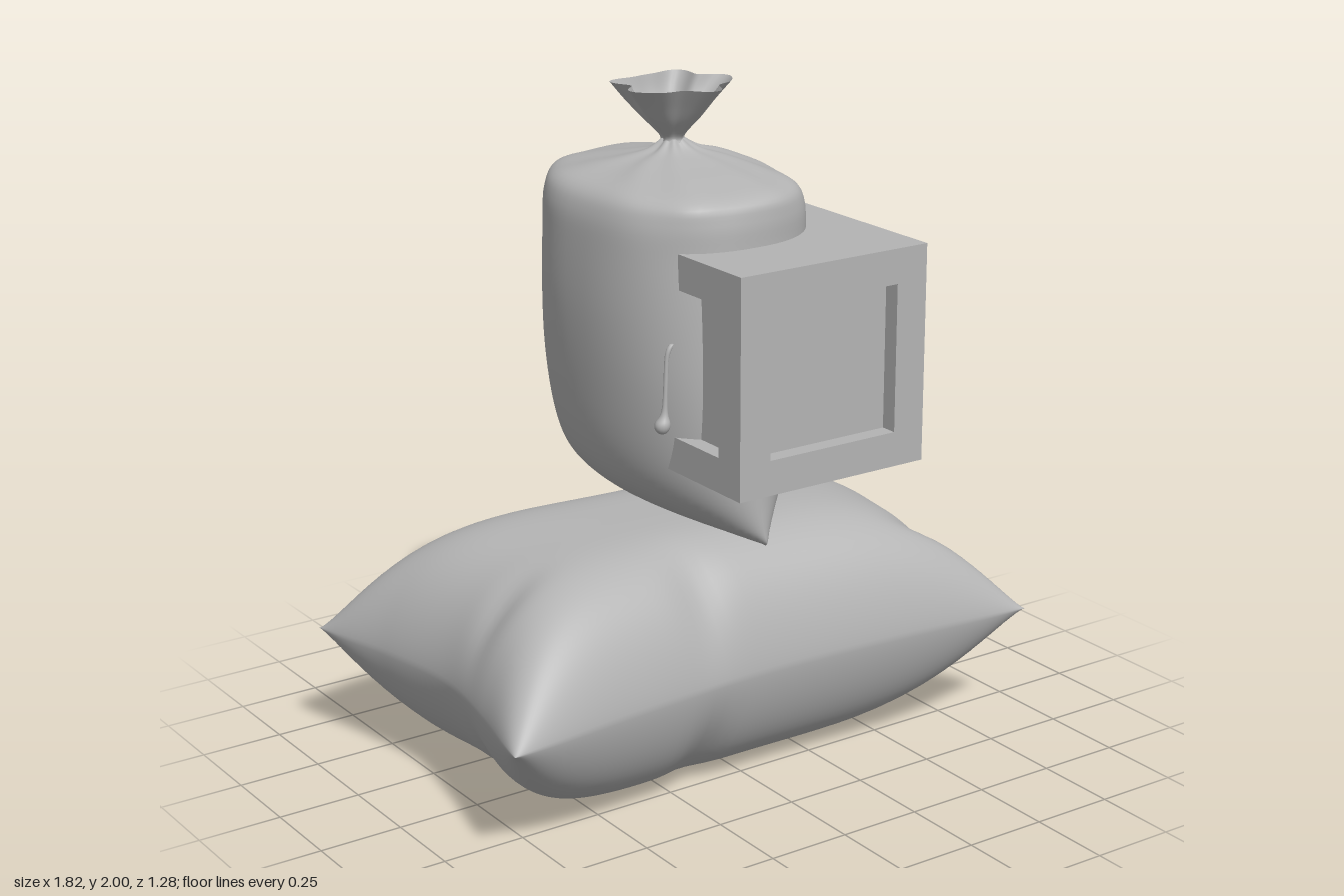
import * as THREE from 'three';
import { mergeVertices } from 'three/addons/utils/BufferGeometryUtils.js';

// smooth function of t (0..1) through evenly spaced values
function spline(values) {
  const curve = new THREE.SplineCurve(values.map((v, i) => new THREE.Vector2(i, v)));
  return t => curve.getPoint(t).y;
}

// grid of points from fn(u, v), u and v in 0..1
function surface(nu, nv, fn, flip = false) {
  const pos = [], idx = [];
  for (let j = 0; j <= nv; j++)
    for (let i = 0; i <= nu; i++) pos.push(...fn(i / nu, j / nv));
  for (let j = 0; j < nv; j++)
    for (let i = 0; i < nu; i++) {
      const a = j * (nu + 1) + i, b = a + 1, c = a + nu + 1, d = c + 1;
      if (flip) idx.push(a, b, c, b, d, c);
      else idx.push(a, c, b, b, c, d);
    }
  return { pos, idx };
}

// join grids into one smooth geometry
function smooth(...parts) {
  const pos = [], idx = [];
  for (const p of parts) {
    const base = pos.length / 3;
    for (const n of p.pos) pos.push(n);
    for (const i of p.idx) idx.push(i + base);
  }
  let g = new THREE.BufferGeometry();
  g.setAttribute('position', new THREE.Float32BufferAttribute(pos, 3));
  g.setIndex(idx);
  g = mergeVertices(g, 1e-5);
  g.computeVertexNormals();
  return g;
}

// rings: [y, xMin, xMax, zMin, zMax, roundness, pleat depth]
function loft(rings, nu, nv, pleat = () => 0, lift = () => 0) {
  const f = rings[0].map((_, k) => spline(rings.map(r => r[k])));
  return smooth(surface(nu, nv, (u, t) => {
    const a = (u % 1) * Math.PI * 2, [y, x0, x1, z0, z1, n, p] = f.map(g => g(t));
    const power = v => Math.sign(v) * Math.abs(v) ** (2 / n);
    const s = 1 + p * pleat(a);
    const x = (x0 + x1) / 2 + (x1 - x0) / 2 * s * power(Math.cos(a));
    const z = (z0 + z1) / 2 + (z1 - z0) / 2 * s * power(Math.sin(a));
    return [x, y + lift(y, z), z];
  }));
}

const bump = (x, z, cx, cz, rx, rz) => Math.exp(-(((x - cx) / rx) ** 2) - ((z - cz) / rz) ** 2);

// stuffed sack lying flat: two bulging sheets joined along a pinched rim
function lyingSack() {
  const left = spline([-0.91, -0.84, -0.80, -0.84, -0.90]);
  const right = spline([0.85, 0.79, 0.80, 0.79, 0.91]);
  const back = spline([-0.63, -0.58, -0.53, -0.575, -0.64]);
  const front = spline([0.47, 0.42, 0.39, 0.41, 0.45]);
  const sheet = side => surface(72, 56, (s, t) => {
    // denser points near the rim
    const u = Math.sin((s - 0.5) * Math.PI), v = Math.sin((t - 0.5) * Math.PI);
    const x = THREE.MathUtils.lerp(left((v + 1) / 2), right((v + 1) / 2), (u + 1) / 2);
    const z = THREE.MathUtils.lerp(back((u + 1) / 2), front((u + 1) / 2), (v + 1) / 2);
    const fill = Math.max(0, 1 - Math.abs(u) ** 5) ** 0.65 * Math.max(0, 1 - v ** 4) ** 0.7;
    const dents = 0.16 * bump(x, z, -0.18, 0.36, 0.07, 0.12) + 0.12 * bump(x, z, 0.05, -0.5, 0.1, 0.1)
      + 0.14 * bump(x, z, 0.72, -0.2, 0.12, 0.07) + 0.12 * bump(x, z, -0.74, 0.06, 0.12, 0.06)
      + 0.1 * bump(x, z, 0.72, 0.22, 0.12, 0.05);
    return [x, 0.37 + side * 0.37 * fill * (1 - dents), z];
  }, side < 0);
  return smooth(sheet(1), sheet(-1));
}

export function createModel() {
  const model = new THREE.Group();
  const grey = new THREE.MeshStandardMaterial({ color: 0xb4b4b4 });
  grey.name = 'grey';
  const greyOpen = grey.clone();
  greyOpen.name = 'grey';
  greyOpen.side = THREE.DoubleSide;
  const add = (name, geometry, parent = model, material = grey) => {
    const mesh = new THREE.Mesh(geometry, material);
    mesh.name = name;
    parent.add(mesh);
    return mesh;
  };

  add('lyingSack', lyingSack());

  // standing sack: seam at the bottom, gathered neck on top
  const sack = new THREE.Group();
  sack.name = 'tiedSack';
  model.add(sack);
  add('sackBody', loft([
    [0.745, -0.01, 0.01, -0.53, 0.365, 1.7, 0],
    [0.76, -0.09, 0.08, -0.54, 0.375, 1.7, 0],
    [0.80, -0.18, 0.15, -0.54, 0.375, 1.75, 0],
    [0.88, -0.26, 0.215, -0.535, 0.372, 1.85, 0],
    [1.00, -0.305, 0.265, -0.53, 0.37, 2, 0],
    [1.20, -0.335, 0.295, -0.515, 0.36, 2.2, 0],
    [1.40, -0.35, 0.31, -0.49, 0.345, 2.3, 0],
    [1.58, -0.347, 0.312, -0.472, 0.33, 2.4, 0],
    [1.68, -0.337, 0.305, -0.478, 0.327, 2.4, 0.005],
    [1.735, -0.305, 0.27, -0.46, 0.305, 2.4, 0.015],
    [1.765, -0.23, 0.205, -0.36, 0.20, 2.3, 0.04],
    [1.79, -0.15, 0.14, -0.23, 0.07, 2.1, 0.06],
    [1.81, -0.08, 0.07, -0.15, -0.01, 2, 0.08],
    [1.84, -0.04, 0.02, -0.11, -0.05, 2, 0.08],
  ], 80, 70, a => Math.cos(9 * a) + 0.6 * Math.cos(5 * a + 1),
  (y, z) => 0.036 * Math.max(0, (1.1 - y) / 0.35) * (0.37 - z) / 0.91), sack);

  // open ruffle above the tie
  add('sackRuffle', loft([
    [1.83, -0.045, 0.025, -0.115, -0.045, 2, 0.05],
    [1.85, -0.048, 0.025, -0.115, -0.045, 2, 0.08],
    [1.90, -0.095, 0.07, -0.155, 0.0, 2, 0.1],
    [1.95, -0.135, 0.11, -0.195, 0.04, 2, 0.12],
    [2.00, -0.175, 0.15, -0.215, 0.08, 2, 0.14],
  ], 90, 20, a => Math.cos(5 * a - 0.9) + 0.4 * Math.cos(8 * a + 1), (y, z) => 0), sack, greyOpen);

  // crate: solid core with a raised frame on each upright side
  const crate = new THREE.Group();
  crate.name = 'crate';
  crate.position.set(0.085, 1.293, 0.242);
  model.add(crate);
  const size = 0.63, depth = 0.05, hole = 0.214, inner = size - 2 * depth;
  add('crateCore', new THREE.BoxGeometry(inner, size, inner), crate);
  for (let i = 0; i < 4; i++) {
    const w = (i % 2 ? inner : size) / 2, h = size / 2;
    const shape = new THREE.Shape([[-w, -h], [w, -h], [w, h], [-w, h]].map(p => new THREE.Vector2(...p)));
    shape.holes.push(new THREE.Path([[-hole, -hole], [-hole, hole], [hole, hole], [hole, -hole]]
      .map(p => new THREE.Vector2(...p))));
    const g = new THREE.ExtrudeGeometry(shape, { depth, bevelEnabled: false });
    add('crateFrame', g.translate(0, 0, inner / 2), crate).rotation.y = i * Math.PI / 2;
  }

  // small drop hanging on a thin bent stem: [y, centre x, centre z, radius]
  add('drop', loft([
    [1.25, -0.524, 0.619, 0.001], [1.253, -0.524, 0.619, 0.012], [1.265, -0.524, 0.619, 0.02],
    [1.28, -0.523, 0.62, 0.02], [1.30, -0.519, 0.621, 0.011], [1.33, -0.517, 0.622, 0.007],
    [1.40, -0.515, 0.623, 0.006], [1.45, -0.513, 0.624, 0.006], [1.475, -0.507, 0.625, 0.007],
    [1.488, -0.499, 0.625, 0.006], [1.49, -0.497, 0.625, 0.001],
  ].map(([y, x, z, r]) => [y, x - r, x + r, z - r, z + r, 2, 0]), 16, 40));

  return model;
}
